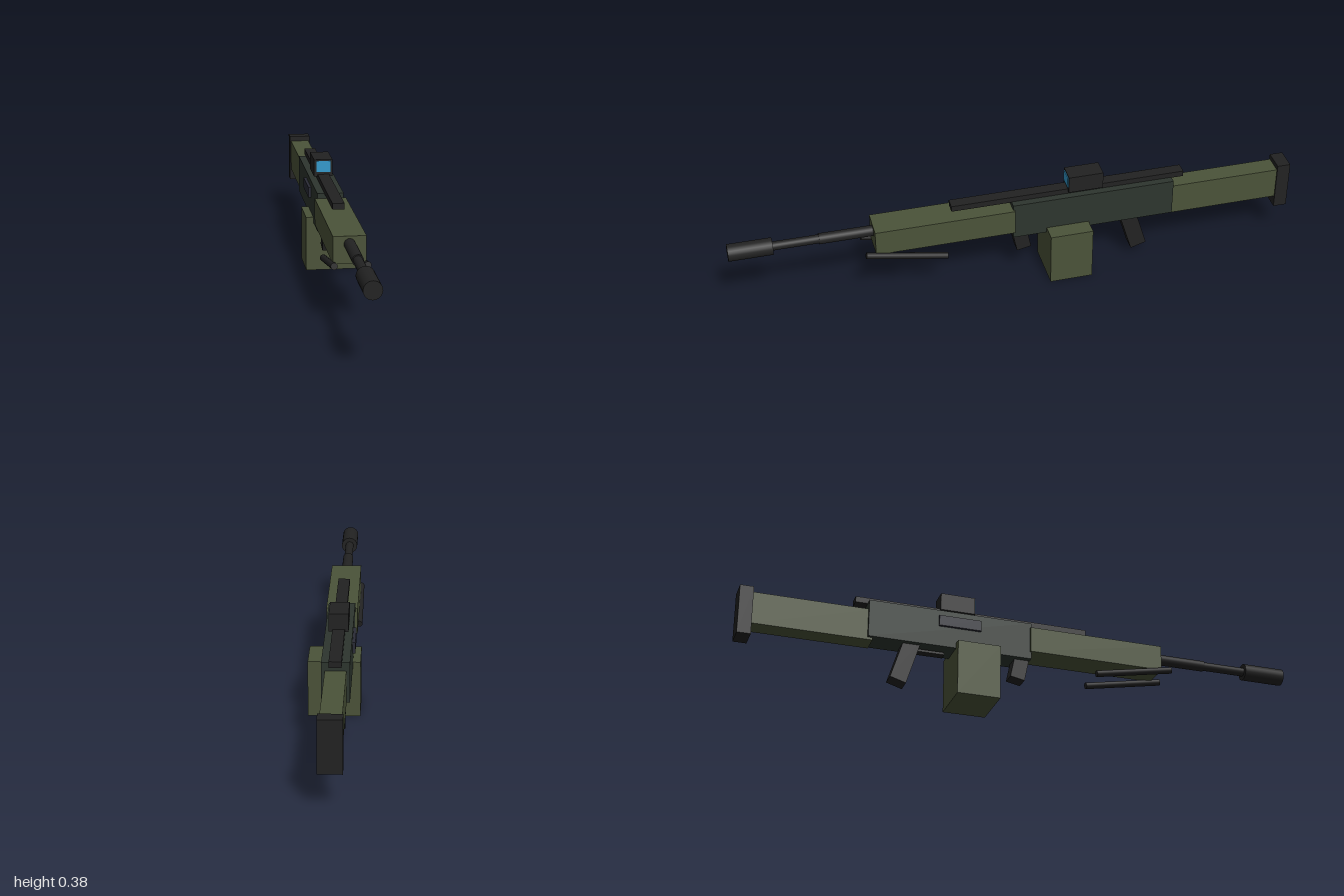
import * as THREE from 'three';

export function createModel() {
  const root = new THREE.Group();
  root.name = 'rifle';
  const mat = (name, color) => Object.assign(new THREE.MeshStandardMaterial({ color }), { name });
  const green = mat('olive green', 0x4b5339);
  const dark = mat('receiver green', 0x2d352e);
  const black = mat('black', 0x222222);
  const blue = mat('lens blue', 0x3399cc);
  const slate = mat('port slate', 0x2a2b36);
  const CX = -0.017; // centre line of the body

  const add = (name, geometry, material, x, y, z, tilt = 0) => {
    const m = new THREE.Mesh(geometry, material);
    m.name = name;
    m.position.set(x, y, z);
    m.rotation.x = tilt;
    root.add(m);
    return m;
  };
  // Box given by its width about x, and its y and z ranges
  const box = (name, material, x, w, y0, y1, z0, z1) =>
    add(name, new THREE.BoxGeometry(w, y1 - y0, z1 - z0), material, x, (y0 + y1) / 2, (z0 + z1) / 2);
  // Cylinder lying along z
  const rod = (name, r, x, y, z0, z1) =>
    add(name, new THREE.CylinderGeometry(r, r, z1 - z0, 24), black, x, y, (z0 + z1) / 2, Math.PI / 2);

  // Body
  box('receiver', dark, CX, 0.092, 0.176, 0.311, -0.56, 0.02);
  box('handguard', green, CX, 0.109, 0.201, 0.293, 0.015, 0.505);
  box('stock', green, CX, 0.069, 0.167, 0.282, -0.955, -0.542);
  box('buttPlate', black, CX, 0.078, 0.125, 0.3, -1, -0.953);
  box('ammoBox', green, 0, 0.178, 0, 0.195, -0.252, -0.1);
  box('ejectionPort', slate, -0.068, 0.01, 0.25, 0.288, -0.315, -0.165);

  // Rail and sight
  box('topRail', black, CX, 0.041, 0.309, 0.33, -0.603, 0.232);
  box('sight', black, CX, 0.066, 0.322, 0.384, -0.305, -0.182);
  box('sightLens', blue, CX, 0.05, 0.339, 0.379, -0.183, -0.179);

  // Barrel
  rod('barrelBase', 0.019, CX, 0.266, 0.49, 0.69);
  rod('barrel', 0.0155, CX, 0.266, 0.68, 0.86);
  rod('muzzle', 0.03, CX, 0.266, 0.848, 1);

  // Grips and trigger guard
  add('foreGrip', new THREE.BoxGeometry(0.052, 0.11, 0.052), black, CX, 0.159, -0.013, 0.2);
  add('rearGrip', new THREE.BoxGeometry(0.055, 0.18, 0.058), black, CX, 0.124, -0.421, 0.3);
  box('triggerGuard', black, CX, 0.03, 0.159, 0.168, -0.39, -0.285);

  // Folded bipod legs
  for (const side of [-1, 1]) {
    add(side < 0 ? 'rightBipodLeg' : 'leftBipodLeg', new THREE.CylinderGeometry(0.0115, 0.0115, 0.288, 16),
      black, CX + side * 0.0545, 0.177, 0.398, Math.PI / 2 - 0.19);
  }
  return root;
}
